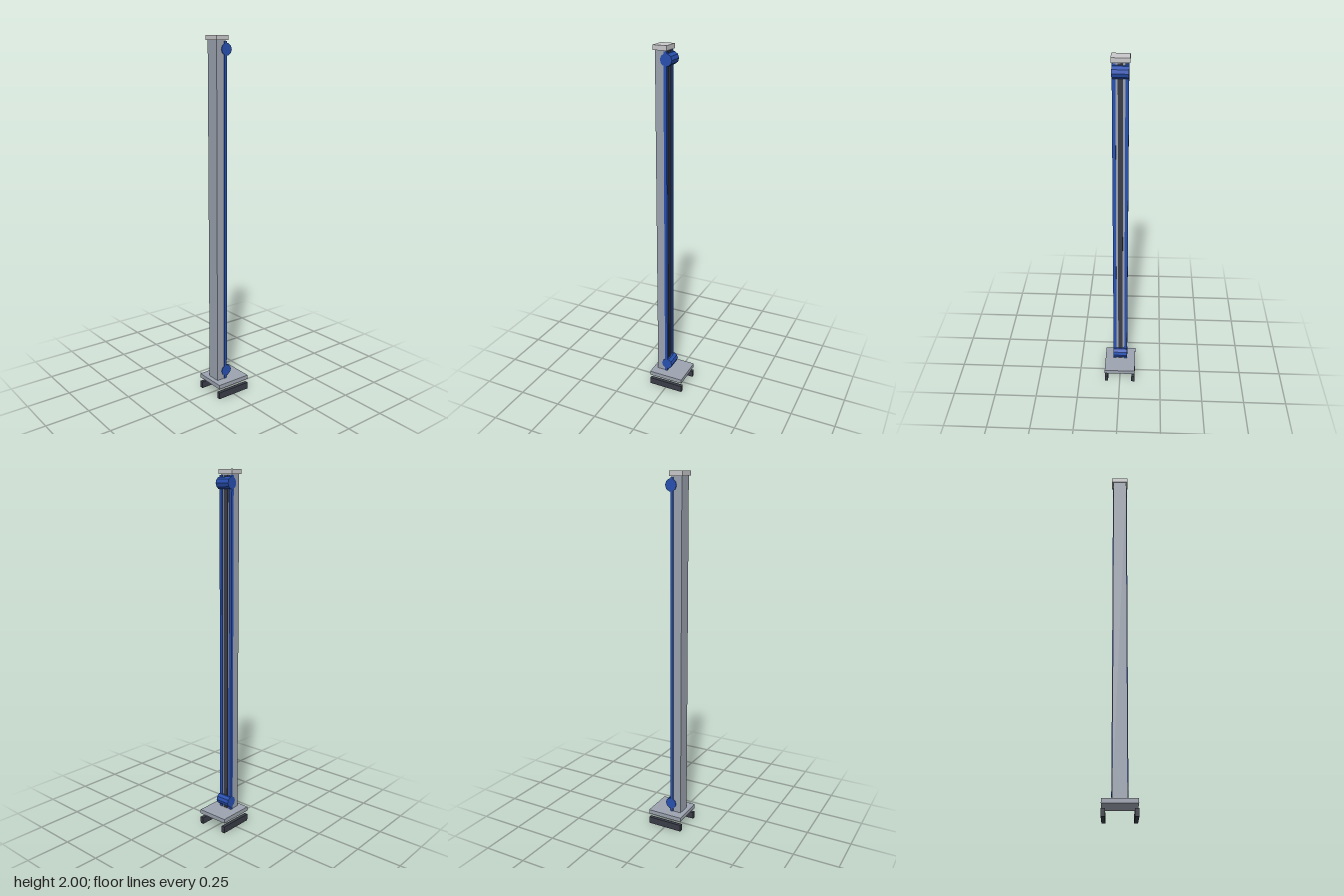
import * as THREE from 'three';

const material = (name, color) => {
  const m = new THREE.MeshStandardMaterial({ color });
  m.name = name;
  return m;
};

export function createModel() {
  const model = new THREE.Group();
  model.name = 'beltColumn';

  const grey = material('steelGrey', 0x9ca3af);
  const light = material('lightGrey', 0xc8c8cb);
  const blue = material('blue', 0x2850b0);
  const dark = material('darkGrey', 0x3a3d48);

  // Box given by its lower and upper corners
  const box = (name, mat, [x0, y0, z0], [x1, y1, z1]) => {
    const mesh = new THREE.Mesh(new THREE.BoxGeometry(x1 - x0, y1 - y0, z1 - z0), mat);
    mesh.position.set((x0 + x1) / 2, (y0 + y1) / 2, (z0 + z1) / 2);
    mesh.name = name;
    model.add(mesh);
  };

  // Base plate, column and top cap
  box('basePlate', grey, [-0.092, 0.062, -0.103], [0.092, 0.086, 0.103]);
  box('column', grey, [-0.038, 0.086, 0.018], [0.038, 1.975, 0.076]);
  box('topCap', light, [-0.047, 1.975, 0.008], [0.047, 2, 0.084]);

  // Dark strip down the middle of the back
  box('centreStrip', dark, [-0.013, 0.086, 0.013], [0.013, 1.97, 0.02]);

  // Mirrored foot bars and guide rails
  for (const [side, s] of [['left', 1], ['right', -1]]) {
    const span = (a, b) => (s > 0 ? [a, b] : [-b, -a]);
    const [f0, f1] = span(0.072, 0.092);
    box(side + 'FootBar', dark, [f0, 0, -0.103], [f1, 0.039, 0.103]);
    const [r0, r1] = span(0.024, 0.042);
    box(side + 'Rail', blue, [r0, 0.086, 0.012], [r1, 1.97, 0.028]);
  }

  // Faceted rollers at the two ends of the rails
  const facets = blue.clone();
  facets.flatShading = true;
  const rollerGeometry = new THREE.CylinderGeometry(0.0325, 0.0325, 0.085, 10).toNonIndexed();
  rollerGeometry.rotateZ(Math.PI / 2);
  rollerGeometry.computeVertexNormals();
  for (const [name, y] of [['lowerRoller', 0.135], ['upperRoller', 1.93]]) {
    const roller = new THREE.Mesh(rollerGeometry, blue);
    roller.position.set(0, y, 0.0145);
    roller.name = name;
    model.add(roller);
  }

  return model;
}
